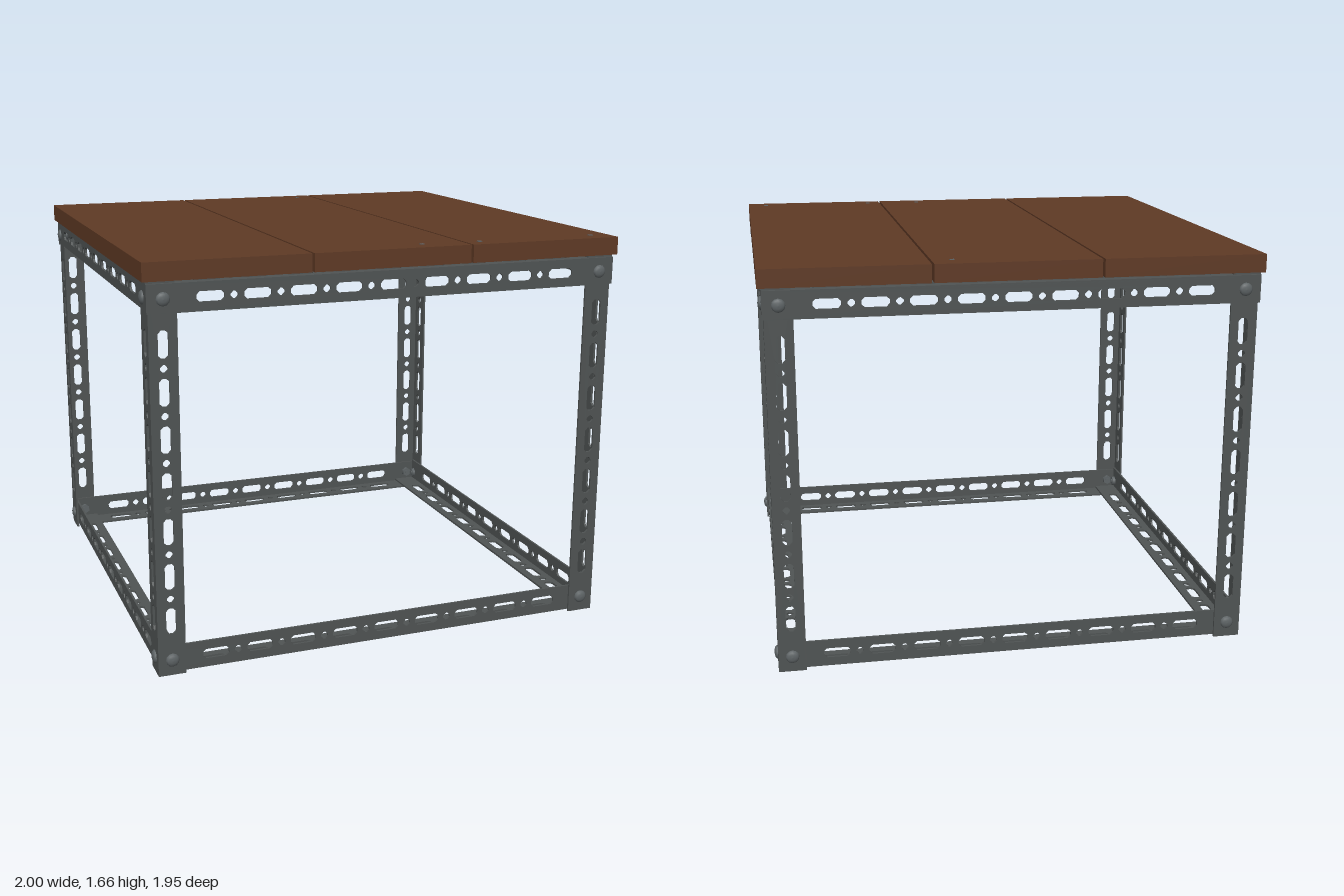
import * as THREE from 'three';

const W = 0.112, T = 0.009, PITCH = 0.185;

// Closed outline with chamfered corners, used for slots and diamond holes
function hole(x, y, halfLength, halfWidth, c) {
  const p = new THREE.Path();
  p.setFromPoints([
    [-halfLength + c, -halfWidth], [halfLength - c, -halfWidth], [halfLength, -halfWidth + c], [halfLength, halfWidth - c],
    [halfLength - c, halfWidth], [-halfLength + c, halfWidth], [-halfLength, halfWidth - c], [-halfLength, -halfWidth + c],
  ].map(([a, b]) => new THREE.Vector2(x + a, y + b)));
  p.closePath();
  return p;
}

// One perforated strip: long slots alternating with small holes
function perforatedStrip(length) {
  const h = length / 2;
  const s = new THREE.Shape([
    new THREE.Vector2(-h, 0), new THREE.Vector2(h, 0), new THREE.Vector2(h, W), new THREE.Vector2(-h, W),
  ]);
  const n = Math.floor((h - 0.17) / (PITCH / 2));
  for (let i = -n; i <= n; i++) {
    const x = i * PITCH / 2;
    s.holes.push(i % 2 === 0 ? hole(x, W / 2, 0.054, 0.02, 0.012) : hole(x, W / 2, 0.015, 0.015, 0.011));
  }
  return new THREE.ExtrudeGeometry(s, { depth: T, bevelEnabled: false }).translate(0, 0, -T);
}

export function createModel() {
  const model = new THREE.Group();
  model.name = 'slottedAngleTable';
  const wood = new THREE.MeshStandardMaterial({ color: 0x5f3a25 });
  wood.name = 'brown wood';
  const steel = new THREE.MeshStandardMaterial({ color: 0x505454 });
  steel.name = 'dark grey steel';
  const boltSteel = new THREE.MeshStandardMaterial({ color: 0x5e6466 });
  boltSteel.name = 'bolt grey';

  const add = (parent, name, geometry, material, x = 0, y = 0, z = 0) => {
    const m = new THREE.Mesh(geometry, material);
    m.name = name;
    m.position.set(x, y, z);
    parent.add(m);
    return m;
  };

  // L-section bar: corner edge at pos, first flange runs along u and faces w
  function angleBar(name, length, pos, u, w) {
    const bar = new THREE.Group();
    bar.name = name;
    const strip = perforatedStrip(length);
    add(bar, 'faceFlange', strip, steel);
    add(bar, 'foldedFlange', strip.clone().rotateX(-Math.PI / 2).translate(0, T, 0), steel);
    const U = new THREE.Vector3(...u), N = new THREE.Vector3(...w);
    bar.quaternion.setFromRotationMatrix(new THREE.Matrix4().makeBasis(U.clone().cross(N), U, N));
    bar.position.set(...pos);
    model.add(bar);
  }

  // Bolt with domed head, shank and inner hex nut, pointing outward along +z
  function bolt(x, y, z, turn) {
    const g = new THREE.Group();
    g.name = 'cornerBolt';
    const profile = [[0.027, -0.004], [0.027, 0.003], [0.021, 0.009], [0.011, 0.012], [0, 0.013]];
    add(g, 'boltHead', new THREE.LatheGeometry(profile.map(p => new THREE.Vector2(...p)), 12).rotateX(Math.PI / 2), boltSteel);
    add(g, 'boltShank', new THREE.CylinderGeometry(0.012, 0.012, 0.045, 8).rotateX(Math.PI / 2), boltSteel, 0, 0, -0.02);
    add(g, 'hexNut', new THREE.CylinderGeometry(0.024, 0.024, 0.016, 6).rotateX(Math.PI / 2), boltSteel, 0, 0, -0.031);
    g.position.set(x, y, z);
    g.rotation.y = turn;
    model.add(g);
  }

  for (const s of [-1, 1]) {
    // Rails along x (front and back) and along z (sides)
    angleBar('topCrossRail', 1.97, [0, 1.57, s * 0.964], [0, -1, 0], [0, 0, s]);
    angleBar('topSideRail', 1.91, [s * 0.985, 1.58, 0], [0, -1, 0], [s, 0, 0]);
    angleBar('bottomCrossRail', 1.93, [0, 0.008, s * 0.945], [0, 1, 0], [0, 0, s]);
    angleBar('bottomSideRail', 1.87, [s * 0.97, 0.018, 0], [0, 1, 0], [s, 0, 0]);
    for (const t of [-1, 1]) {
      angleBar('leg', 1.57, [s * 0.979, 0.785, t * 0.955], [-s, 0, 0], [0, 0, t]);
      for (const [y, out] of [[1.513, 0.007], [0.065, 0]]) {
        bolt(s * 0.922, y, t * (0.957 + out), t > 0 ? 0 : Math.PI);
        bolt(s * (0.98 + out * 0.7), y, t * 0.9, s * Math.PI / 2);
      }
    }
  }

  // Three boards with narrow gaps
  for (const i of [-1, 0, 1]) {
    add(model, 'tabletopPlank', new THREE.BoxGeometry(0.66, 0.073, 1.94), wood, i * 0.67, 1.6165, 0);
  }

  // Small screw tips level with the tabletop
  for (const [x, z] of [[0.25, -0.885], [0.15, 0.89], [0.4, 0.9], [0.915, 0.89]]) {
    add(model, 'screwTip', new THREE.BoxGeometry(0.018, 0.004, 0.016), boltSteel, x, 1.6535, z);
  }
  return model;
}
